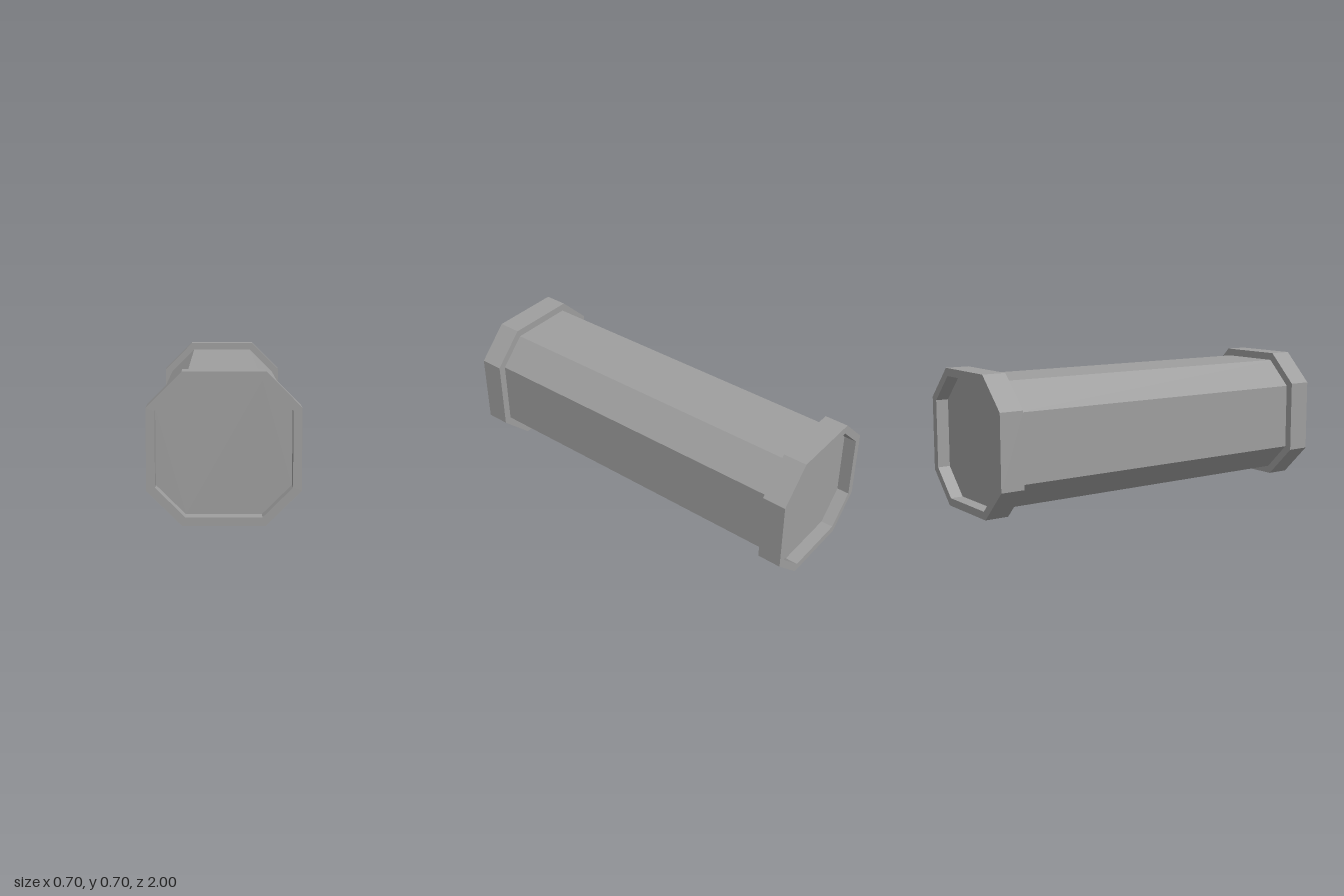
import * as THREE from 'three';

// Corners of a square with cut corners; flat is half the length of a straight side
function octagon(half, flat) {
  return [
    [half, -flat], [half, flat], [flat, half], [-flat, half],
    [-half, flat], [-half, -flat], [-flat, -half], [flat, -half],
  ].map(([x, y]) => new THREE.Vector2(x, y));
}

// Prism along z, centred on the origin
function prism(shape, depth) {
  return new THREE.ExtrudeGeometry(shape, { depth, bevelEnabled: false })
    .translate(0, 0, -depth / 2);
}

export function createModel() {
  const model = new THREE.Group();
  model.name = 'octagonalBeam';
  const grey = new THREE.MeshStandardMaterial({ color: 0x9e9e9e });
  grey.name = 'grey';

  const centreY = 0.352;
  const collarDepth = 0.124;
  const recess = 0.066;

  // Long shaft, ending slightly inside the collars
  const shaft = new THREE.Mesh(
    prism(new THREE.Shape(octagon(0.312, 0.175)), 2 - 2 * recess), grey);
  shaft.name = 'shaft';
  shaft.position.y = centreY;
  model.add(shaft);

  // Open collar around each end
  const collarShape = new THREE.Shape(octagon(0.352, 0.19));
  collarShape.holes.push(new THREE.Path(octagon(0.312, 0.175).reverse()));
  const collarGeometry = prism(collarShape, collarDepth);
  for (const side of [1, -1]) {
    const collar = new THREE.Mesh(collarGeometry, grey);
    collar.name = side > 0 ? 'frontCollar' : 'backCollar';
    collar.position.set(0, centreY, side * (1 - collarDepth / 2));
    model.add(collar);
  }

  return model;
}
